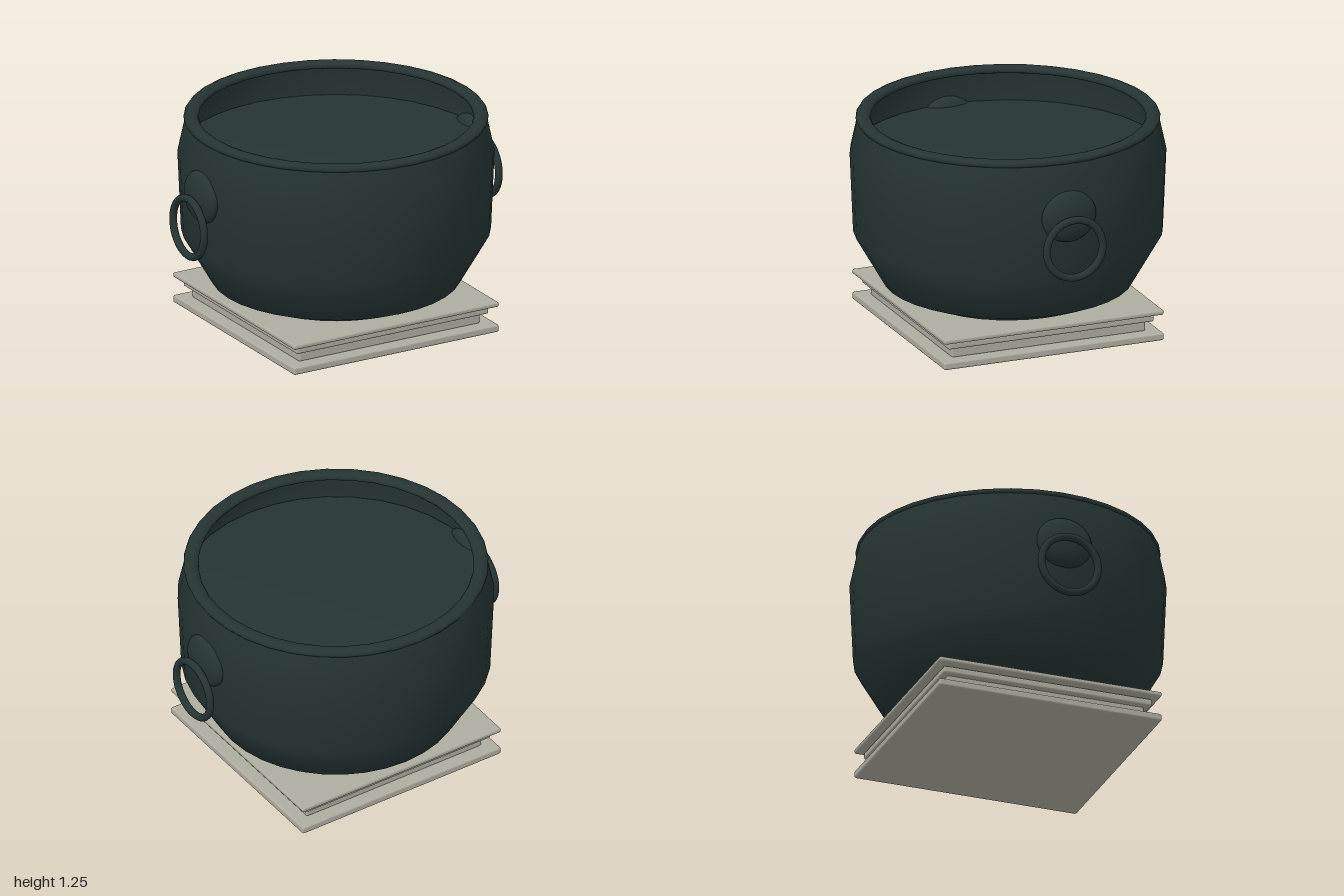
import * as THREE from 'three';
import { RoundedBoxGeometry } from 'three/addons/geometries/RoundedBoxGeometry.js';

const SIDES = 36;

export function createModel() {
  const model = new THREE.Group();
  model.name = 'cauldronOnPlinth';

  const bronze = new THREE.MeshStandardMaterial({ color: 0x263434 });
  bronze.name = 'dark bronze';
  bronze.side = THREE.DoubleSide;
  const stone = new THREE.MeshStandardMaterial({ color: 0xaeaca0 });
  stone.name = 'pale stone';

  const add = (name, geometry, material, x = 0, y = 0, z = 0) => {
    const mesh = new THREE.Mesh(geometry, material);
    mesh.name = name;
    mesh.position.set(x, y, z);
    model.add(mesh);
    return mesh;
  };
  const lathe = (points) =>
    new THREE.LatheGeometry(points.map(([r, y]) => new THREE.Vector2(r, y)), SIDES);

  // stepped square plinth: half width, bottom, top
  [
    [0.68, 0, 0.045],
    [0.6, 0.04, 0.11],
    [0.637, 0.105, 0.148],
    [0.68, 0.153, 0.183],
  ].forEach(([half, low, high], i) => {
    const h = high - low;
    add('plinthStep' + (i + 1), new RoundedBoxGeometry(half * 2, h, half * 2, 2, 0.012),
      stone, 0, (low + high) / 2, 0);
  });

  // bowl wall and its open collar
  add('bowl', lathe([
    [0, 0.182], [0.54, 0.182], [0.715, 0.255], [0.885, 0.55], [0.905, 1.02], [0.862, 1.22],
  ]), bronze);

  // flat fill inside, softly shaded toward its edge
  add('bowlFill', lathe([[0.897, 0.94], [0.897, 1.015], [0, 1.015]]), bronze);

  // rolled lip
  const lip = new THREE.TorusGeometry(0.828, 0.043, 10, SIDES);
  lip.rotateX(Math.PI / 2);
  lip.scale(1, 0.56, 1);
  add('lip', lip, bronze, 0, 1.229, 0);

  // boss and hanging ring on each side
  for (const [label, s] of [['left', 1], ['right', -1]]) {
    const boss = new THREE.SphereGeometry(1, 32, 20);
    boss.scale(0.067, 0.153, 0.167);
    add(label + 'Boss', boss, bronze, s * 0.89, 0.911, 0);

    const ring = new THREE.TorusGeometry(0.173, 0.022, 12, 40);
    ring.rotateY(Math.PI / 2);
    add(label + 'Ring', ring, bronze, s * 0.978, 0.74, 0);
  }
  return model;
}
